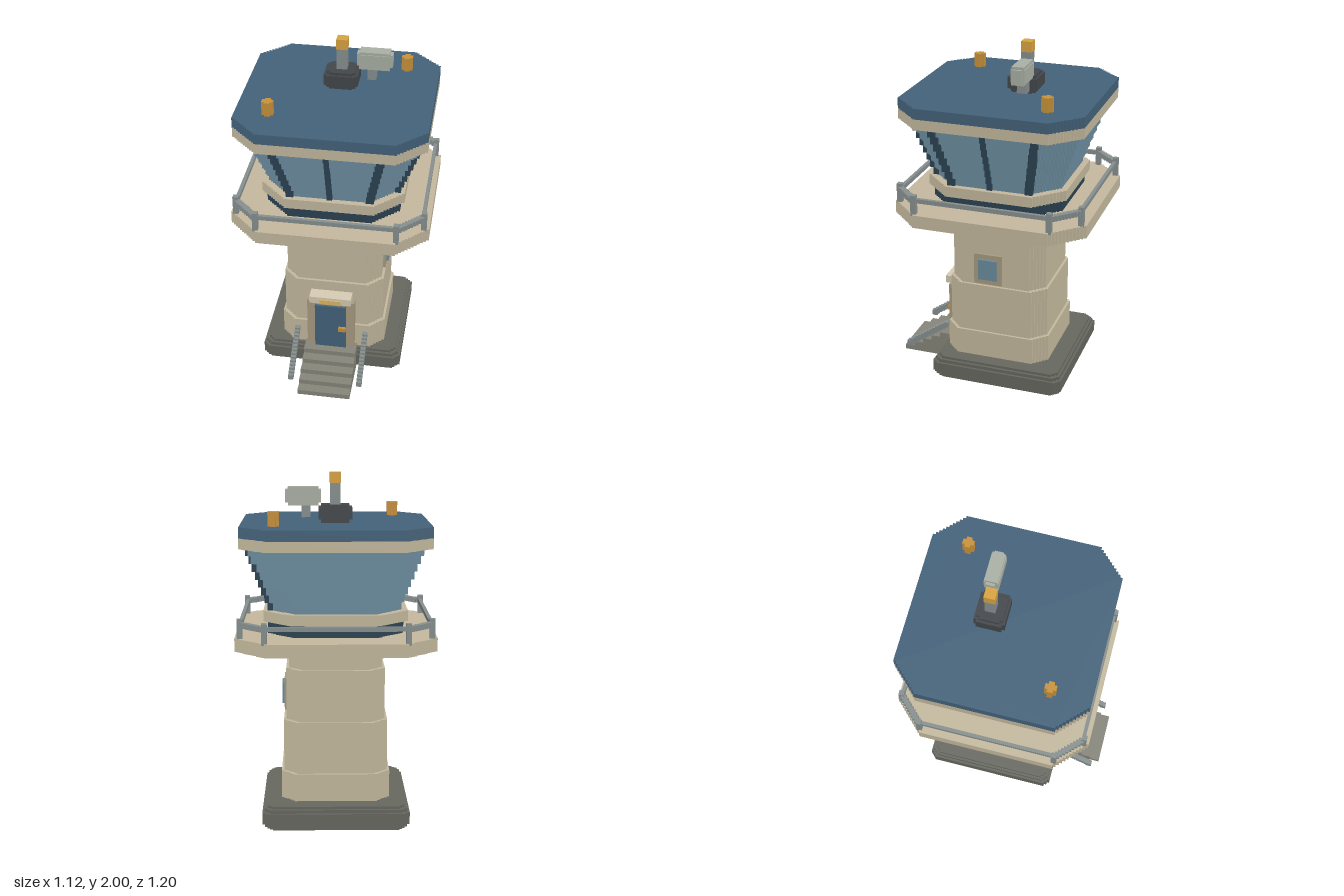
import * as THREE from 'three';

const mats = {};
const mat = (c) => (mats[c] ??= new THREE.MeshStandardMaterial({ color: c, flatShading: true }));
const TAN = 0xc4b99e, TRIM = 0xa79b80, LIGHT = 0xd6ccb4, GLASS = 0x6b8c9e, ROOF = 0x44627a, NAVY = 0x2b4252;
const STONE = 0x666860, STEP = 0x85857a, RAIL = 0x87908f, ORANGE = 0xc8923a, DARK = 0x43474b, RADAR = 0xaab0a4;
const CZ = -0.037; // z of the tower axis

export function createModel() {
  const root = new THREE.Group();

  const add = (parent, name, geo, color) => {
    const m = new THREE.Mesh(geo, mat(color));
    m.name = name;
    parent.add(m);
    return m;
  };
  // Box given by its limits on each axis
  const box = (name, color, x0, x1, y0, y1, z0, z1, parent = root) => {
    const m = add(parent, name, new THREE.BoxGeometry(x1 - x0, y1 - y0, z1 - z0), color);
    m.position.set((x0 + x1) / 2, (y0 + y1) / 2, (z0 + z1) / 2);
    return m;
  };
  // Square prism whose corners are cut by a small staircase
  const tier = (name, color, half, cut, steps, y0, y1, parent = root, hz = half, cz = CZ) => {
    const pts = [], d = cut / steps;
    const corner = [];
    for (let i = 0; i <= steps; i++) {
      corner.push([half - i * d, hz - cut + i * d]);
      if (i < steps) corner.push([half - (i + 1) * d, hz - cut + i * d]);
    }
    const signs = [[1, 1], [-1, 1], [-1, -1], [1, -1]];
    signs.forEach(([sx, sz], q) => {
      const run = q % 2 ? [...corner].reverse() : corner;
      run.forEach(([x, z]) => pts.push(new THREE.Vector2(x * sx, z * sz)));
    });
    const geo = new THREE.ExtrudeGeometry(new THREE.Shape(pts), { depth: y1 - y0, bevelEnabled: false });
    geo.rotateX(-Math.PI / 2);
    const m = add(parent, name, geo, color);
    m.position.set(0, y0, cz);
    return m;
  };
  const group = (name) => {
    const g = new THREE.Group();
    g.name = name;
    root.add(g);
    return g;
  };

  // Plinth with stepped, rounded edges
  const plinth = group('plinth');
  [[0.39, 0, 0.14], [0.405, 0.015, 0.125], [0.418, 0.035, 0.105]].forEach(([h, a, b]) =>
    tier('plinthLayer', STONE, h, 0.03, 2, a, b, plinth, h - 0.023, -0.075));

  // Tapering shaft
  const shaft = group('shaft');
  [[0.31, 0.14, 0.3], [0.296, 0.3, 0.6], [0.281, 0.6, 0.9], [0.265, 0.9, 1.04]].forEach(([h, a, b]) =>
    tier('shaftTier', TAN, h, 0.075, 5, a, b, shaft));

  // Gallery deck and the foot of the cab
  tier('deck', TAN, 0.56, 0.17, 11, 1.035, 1.11);
  tier('cabFoot', NAVY, 0.38, 0.14, 9, 1.11, 1.18);
  tier('cabCurb', TAN, 0.405, 0.15, 10, 1.18, 1.24);

  // Outward stepping glass with mullions on the front and right faces
  const cab = group('cab');
  const layers = 8, lh = 0.36 / layers;
  for (let i = 0; i < layers; i++) {
    const t = i / (layers - 1), h = 0.37 + 0.115 * t, y = 1.24 + i * lh;
    tier('glassLayer', GLASS, h, 0.14 + 0.03 * t, 10, y, y + lh, cab);
    for (const s of [-1, 0, 1]) {
      const p = s * (0.225 + 0.065 * t), w = s ? 0.022 : 0.015;
      box('frontMullion', NAVY, p - w, p + w, y, y + lh, CZ + h - 0.02, CZ + h + 0.012, cab);
      box('sideMullion', NAVY, h - 0.02, h + 0.012, y, y + lh, CZ + p - w, CZ + p + w, cab);
    }
  }

  // Roof
  tier('roofTrim', TAN, 0.53, 0.15, 10, 1.6, 1.66);
  tier('roof', ROOF, 0.53, 0.15, 10, 1.66, 1.72);

  // Gallery railing: straight rails, stepped corner rails, posts
  const railing = group('railing');
  const A = 0.53, B = 0.39, n = 10, d = (A - B) / n;
  for (const s of [-1, 1]) {
    box('rail', RAIL, -B, B, 1.175, 1.2, CZ + s * 0.525 - 0.01, CZ + s * 0.525 + 0.01, railing);
    box('rail', RAIL, s * 0.525 - 0.01, s * 0.525 + 0.01, 1.175, 1.2, CZ - B, CZ + B, railing);
    for (const q of [-1, 1]) {
      for (let i = 0; i <= n; i++) {
        const x = s * (A - i * d), z = CZ + q * (B + i * d);
        const w = 0.015, end = i === 0 || i === n;
        box(end ? 'railPost' : 'cornerRail', RAIL, x - w, x + w, end ? 1.1 : 1.172, end ? 1.22 : 1.202, z - w, z + w, railing);
      }
    }
  }

  // Entrance stairs with stepped handrails
  const stairs = group('stairs');
  for (let i = 0; i < 5; i++)
    box('stair', STEP, -0.157, 0.155, 0, 0.031 * (i + 1), 0.26, 0.6 - i * 0.058, stairs);
  for (const x of [-0.205, 0.205]) {
    for (let i = 0; i < 14; i++) {
      const z = 0.545 - i * 0.0185, y = 0.07 + i * 0.0128;
      box('handrail', RAIL, x - 0.015, x + 0.015, y, y + 0.032, z - 0.014, z + 0.014, stairs);
    }
    box('handrailFoot', RAIL, x - 0.015, x + 0.015, 0.068, 0.1, 0.525, 0.557, stairs);
  }

  // Door
  const door = group('door');
  box('doorFrame', TRIM, -0.143, 0.14, 0.14, 0.49, 0.22, 0.308, door);
  box('doorPanel', ROOF, -0.095, 0.092, 0.155, 0.46, 0.25, 0.322, door);
  box('lintel', LIGHT, -0.125, 0.122, 0.49, 0.535, 0.22, 0.335, door);
  box('doorLamp', 0xdcb765, -0.063, 0.062, 0.49, 0.52, 0.3, 0.341, door);
  box('doorHandle', ORANGE, 0.048, 0.092, 0.288, 0.315, 0.31, 0.338, door);

  // Window on the right face
  box('windowFrame', TRIM, 0.24, 0.296, 0.613, 0.8, -0.078, 0.088);
  box('windowPane', GLASS, 0.25, 0.31, 0.645, 0.77, -0.052, 0.06);

  // Mast on a block with chamfered edges
  const mast = group('mast');
  tier('mastBase', DARK, 0.08, 0.015, 1, 1.72, 1.82, mast, 0.07, -0.127);
  tier('mastBaseBelt', DARK, 0.095, 0.015, 1, 1.74, 1.805, mast, 0.084, -0.127);
  box('mastPole', RAIL, -0.03, 0.03, 1.8, 1.94, -0.162, -0.105, mast);
  box('mastLight', 0xd9a441, -0.031, 0.031, 1.94, 2, -0.165, -0.104, mast);

  // Radar head
  const radar = group('radar');
  box('radarHead', RADAR, 0.095, 0.265, 1.818, 1.922, -0.195, -0.125, radar);
  box('radarBelt', RADAR, 0.08, 0.28, 1.833, 1.907, -0.188, -0.138, radar);
  box('radarCore', RADAR, 0.095, 0.265, 1.833, 1.907, -0.2, -0.12, radar);
  box('radarNeck', RAIL, 0.14, 0.19, 1.752, 1.82, -0.188, -0.132, radar);

  // Roof corner lights with a cross section
  for (const [x, z] of [[0.342, -0.353], [-0.345, 0.272]])
    tier('roofLight', ORANGE, 0.031, 0.016, 1, 1.72, 1.8, root, 0.031, z).position.x = x;

  return root;
}
